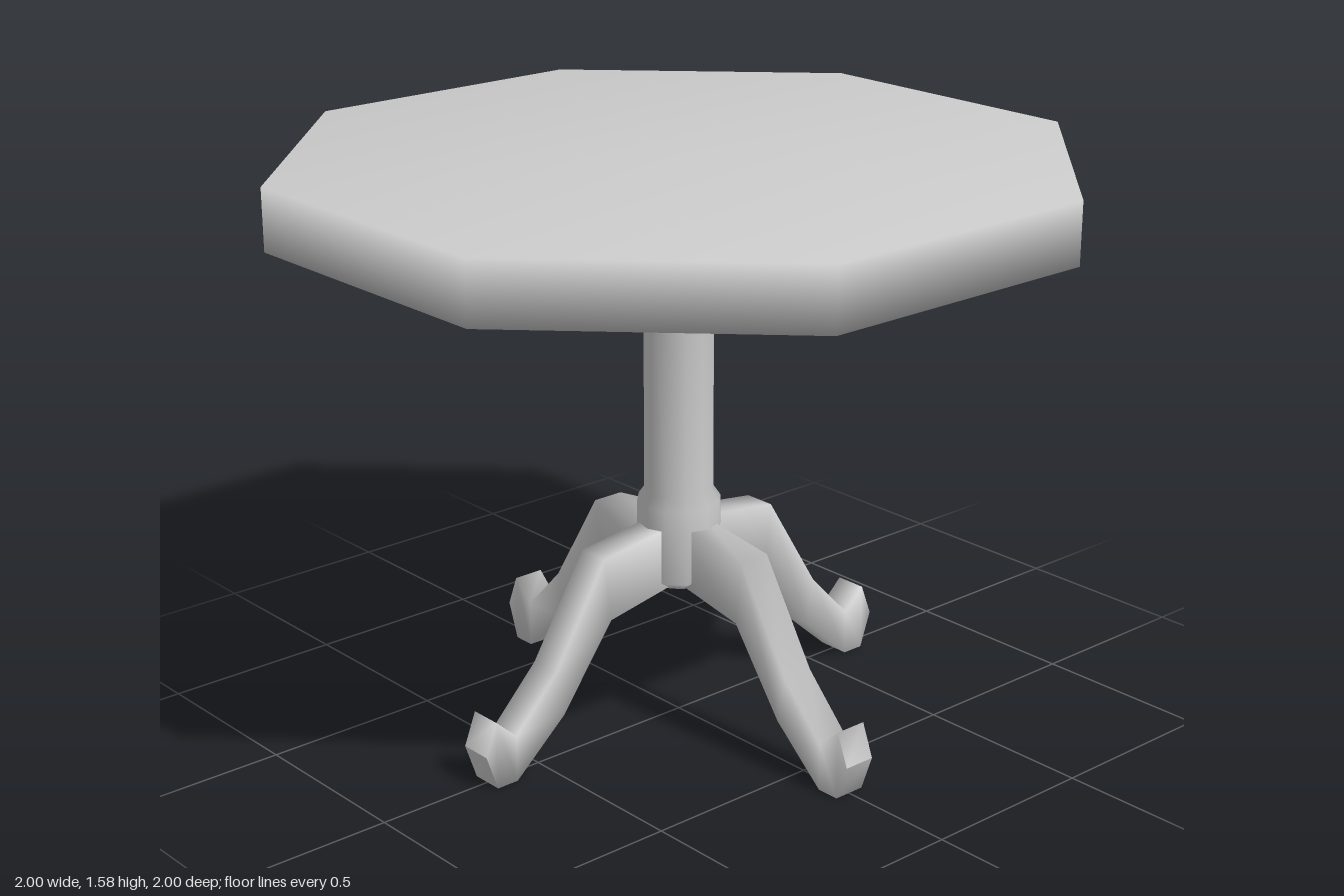
import * as THREE from 'three';

const grey = new THREE.MeshStandardMaterial({ color: 0xcccccc });
grey.name = 'plain grey';

// Turned part from [radius, height] pairs, listed bottom to top
function turned(name, profile, sides, turn = 0) {
  const points = profile.map(([r, y]) => new THREE.Vector2(r, y));
  const mesh = new THREE.Mesh(new THREE.LatheGeometry(points, sides, turn), grey);
  mesh.name = name;
  return mesh;
}

// Leg along +x, as a chain of square sections: [top x, top y, bottom x, bottom y]
function legGeometry() {
  const half = 0.046;
  const sections = [
    [0.04, 0.58, 0.04, 0.41],
    [0.30, 0.545, 0.28, 0.365],
    [0.47, 0.27, 0.445, 0.14],
    [0.605, 0.13, 0.605, 0],
    [0.67, 0.19, 0.67, 0],
    [0.705, 0.10, 0.705, 0.10], // toe ridge
  ];
  const positions = [];
  const index = [];
  for (const [tx, ty, bx, by] of sections) {
    positions.push(tx, ty, half, tx, ty, -half, bx, by, -half, bx, by, half);
  }
  for (let i = 0; i < sections.length - 1; i++) {
    for (let j = 0; j < 4; j++) {
      const a = i * 4 + j;
      const b = i * 4 + ((j + 1) % 4);
      index.push(a, a + 4, b, b, a + 4, b + 4);
    }
  }
  const geometry = new THREE.BufferGeometry();
  geometry.setAttribute('position', new THREE.Float32BufferAttribute(positions, 3));
  geometry.setIndex(index);
  geometry.computeVertexNormals();
  return geometry;
}

export function createModel() {
  const table = new THREE.Group();
  table.name = 'pedestalTable';

  // Octagonal top with flat sides facing the axes
  const corner = 1 / Math.cos(Math.PI / 8);
  table.add(turned('tableTop',
    [[0, 1.417], [corner, 1.417], [corner, 1.583], [0, 1.583]], 8, Math.PI / 8));

  // Column with a flared capital and a swollen hub
  table.add(turned('column', [
    [0, 0.385], [0.07, 0.39], [0.115, 0.42], [0.115, 0.63], [0.095, 0.66],
    [0.095, 1.30], [0.152, 1.37], [0.137, 1.417],
  ], 12));

  // Four legs around the hub
  const geometry = legGeometry();
  for (let i = 0; i < 4; i++) {
    const leg = new THREE.Mesh(geometry, grey);
    leg.name = 'leg' + (i + 1);
    leg.rotation.y = i * Math.PI / 2;
    table.add(leg);
  }
  return table;
}
